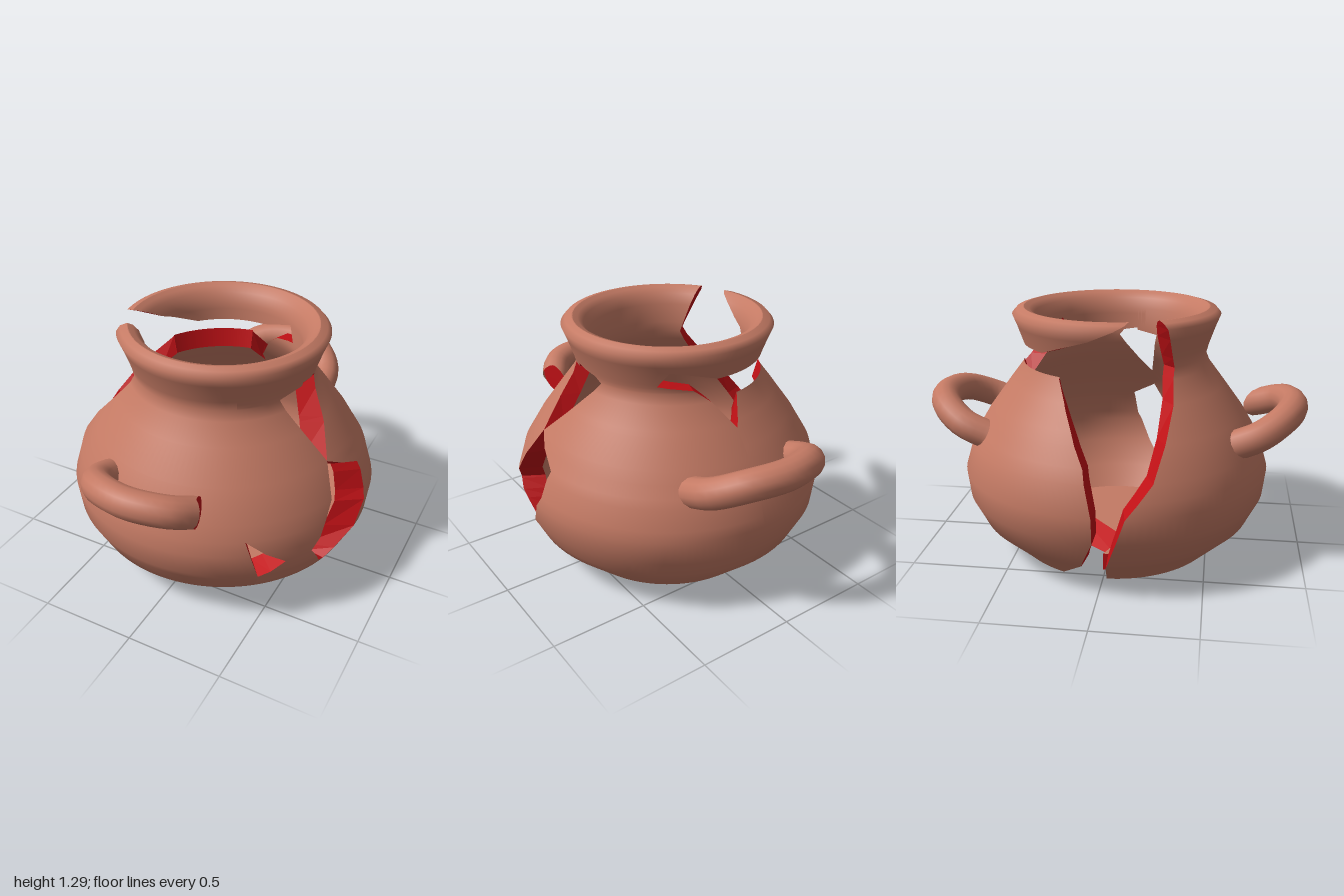
import * as THREE from 'three';

const clay = new THREE.MeshStandardMaterial({ color: 0xc47a64, side: THREE.DoubleSide });
const broken = new THREE.MeshStandardMaterial({ color: 0xc01015, side: THREE.DoubleSide });

// Pot profiles as [height, radius]
const OUTER = [[0, 0.53], [0.18, 0.72], [0.32, 0.79], [0.45, 0.805], [0.6, 0.76], [0.75, 0.67],
  [0.9, 0.56], [1.0, 0.485], [1.05, 0.465], [1.1, 0.477], [1.2, 0.512], [1.255, 0.534], [1.28, 0.512], [1.29, 0.478]];
const INNER = [[0, 0.43], [0.18, 0.58], [0.32, 0.66], [0.45, 0.68], [0.6, 0.645], [0.75, 0.565],
  [0.9, 0.46], [1.0, 0.4], [1.05, 0.385], [1.1, 0.387], [1.2, 0.398], [1.255, 0.422], [1.28, 0.448], [1.29, 0.474]];

// Edges of the shards as [height, angle in degrees]; 0 is the front, 90 is +x
const SLOT_FRONT = [[0, -88], [0.14, -87], [0.32, -83], [0.45, -80], [0.6, -70], [0.75, -63], [0.9, -54],
  [1.05, -46], [1.29, -58]];
const SLOT_BACK = [[0, -113], [0.14, -97], [0.32, -91], [0.45, -91], [0.66, -95], [0.8, -102], [0.91, -109], [1.0, -117]];
const GAP_FRONT = [[0.18, 73], [0.22, 68], [0.38, 60], [0.45, 63], [0.6, 71], [0.75, 76], [0.9, 70],
  [1.0, 65], [1.06, 62], [1.08, 80]];
const GAP_BACK = [[0.18, 73], [0.22, 78], [0.32, 86], [0.5, 93], [0.64, 94.5], [0.7, 84], [0.75, 76], [0.9, 88],
  [1.0, 97], [1.05, 102], [1.08, 98], [1.1, 80]];
const CHIP_A = [[0.28, 40], [0.52, 35]];
const CHIP_B = [[0.28, 40], [0.37, 49.6], [0.52, 35]];
const NOTCH = [[0.88, 180], [1.0, 170], [1.06, 160], [1.09, 139], [1.17, 146]];

function at(list, y) {
  if (y <= list[0][0]) return list[0][1];
  for (let i = 1; i < list.length; i++) {
    const [y0, v0] = list[i - 1], [y1, v1] = list[i];
    if (y <= y1) return v0 + (v1 - v0) * (y - y0) / (y1 - y0);
  }
  return list[list.length - 1][1];
}

function makeMesh(name, geometry, material) {
  const mesh = new THREE.Mesh(geometry, material);
  mesh.name = name;
  return mesh;
}

// Flat-shaded surface from a list of triangle corners
function facets(name, pos, material) {
  const g = new THREE.BufferGeometry();
  g.setAttribute('position', new THREE.Float32BufferAttribute(pos, 3));
  g.computeVertexNormals();
  return makeMesh(name, g, material);
}

// One curved, thick shard between two edges and two heights. For slanted breaks,
// skew turns the inner left edge and drop lowers the inner top edge
function shard(name, y0, y1, left, right, { skew = 0, drop = 0 } = {}) {
  const group = new THREE.Group();
  group.name = name;
  const knots = [y0, y1, ...[OUTER, left, right].flat().map((k) => k[0])];
  const ys = [...new Set(knots)].filter((y) => y >= y0 && y <= y1).sort((a, b) => a - b);
  const n = 36;
  const point = (profile, y, j) => {
    const inside = profile === INNER;
    const l = at(left, y) + (inside ? skew : 0);
    const a = THREE.MathUtils.degToRad(l + (at(right, y) - l) * j / n);
    const h = inside ? y - drop * (y / y1) ** 4 : y;
    const r = at(profile, h);
    return [r * Math.sin(a), h, r * Math.cos(a)];
  };

  // Smooth outer and inner faces
  [[OUTER, 1, 'outerWall'], [INNER, -1, 'innerWall']].forEach(([profile, sign, part]) => {
    const pos = [], nor = [], idx = [];
    ys.forEach((y, i) => {
      for (let j = 0; j <= n; j++) {
        const p = point(profile, y, j), r = Math.hypot(p[0], p[2]);
        const ya = Math.max(0, p[1] - 0.02), yb = Math.min(1.29, p[1] + 0.02);
        const slope = (at(profile, yb) - at(profile, ya)) / (yb - ya);
        pos.push(...p);
        const v = new THREE.Vector3(p[0] / r, -slope, p[2] / r).normalize().multiplyScalar(sign);
        nor.push(v.x, v.y, v.z);
        if (i && j) {
          const c = i * (n + 1) + j, d = c - n - 1;
          if (sign > 0) idx.push(d - 1, d, c - 1, d, c, c - 1);
          else idx.push(d - 1, c - 1, d, d, c - 1, c);
        }
      }
    });
    const g = new THREE.BufferGeometry();
    g.setAttribute('position', new THREE.Float32BufferAttribute(pos, 3));
    g.setAttribute('normal', new THREE.Float32BufferAttribute(nor, 3));
    g.setIndex(idx);
    group.add(makeMesh(part, g, clay));
  });

  // Flat strips joining outer and inner faces
  const strip = (part, steps, material, flip) => {
    const pos = [];
    for (let i = 1; i < steps.length; i++) {
      const [a, b] = [steps[i - 1], steps[i]].map(([y, j]) => [point(OUTER, y, j), point(INNER, y, j)]);
      const tris = flip ? [a[0], b[0], a[1], b[0], b[1], a[1]] : [a[0], a[1], b[0], b[0], a[1], b[1]];
      pos.push(...tris.flat());
    }
    group.add(facets(part, pos, material));
  };
  const around = Array.from({ length: n + 1 }, (_, j) => j);
  strip('leftBreak', ys.map((y) => [y, 0]), broken, true);
  strip('rightBreak', ys.map((y) => [y, n]), broken, false);
  strip('topEdge', around.map((j) => [y1, j]), y1 === 1.29 ? clay : broken, true);
  strip('bottomEdge', around.map((j) => [y0, j]), y0 === 0 ? clay : broken, false);
  return group;
}

// Floor with a piece broken out through its edge, one side of it cut at a slant
function floor() {
  const shape = new THREE.Shape().absarc(0, 0, 0.44, -0.03 - Math.PI, Math.PI - 0.4);
  const bite = [[-0.2, -0.38], [0.02, -0.43], [0.06, -0.42], [-0.33, 0.06]];
  bite.forEach(([x, z]) => shape.lineTo(x, -z));
  const g = new THREE.ExtrudeGeometry(shape, { depth: 0.09, bevelEnabled: false, curveSegments: 40 });
  g.rotateX(-Math.PI / 2);
  const p = g.attributes.position;
  const slant = [[0, 0], [0, 0], [0.15, 0.09], [0.21, 0.06]];
  for (let i = 0; i < p.count; i++) {
    const k = bite.findIndex(([x, z]) => Math.hypot(p.getX(i) - x, p.getZ(i) - z) < 0.001);
    if (p.getY(i) > 0.04 && k >= 0) {
      p.setX(i, p.getX(i) + slant[k][0]);
      p.setZ(i, p.getZ(i) + slant[k][1]);
    }
  }
  g.computeVertexNormals();
  return makeMesh('floor', g, [clay, broken]);
}

// Looped handle; the snapped one stops short of the wall
function handle(name, snapped) {
  const group = new THREE.Group();
  group.name = name;
  const half = [[0.3, 0.645, 0.6], [0.285, 0.705, 0.75], [0.18, 0.77, 0.873], [0, 0.787, 0.922]];
  const pts = [...half.map(([x, y, z]) => [-x, y, z]), ...half.slice(0, 3).reverse()];
  if (snapped) pts.splice(-2, 2, [0.265, 0.72, 0.765]);
  const curve = new THREE.CatmullRomCurve3(pts.map((p) => new THREE.Vector3(...p)));
  const sides = 14, steps = 24;
  const tube = new THREE.TubeGeometry(curve, steps, 0.076, sides);
  group.add(makeMesh('loop', tube, clay));
  if (snapped) {
    // Slide the last ring along the handle onto a slanted plane and close it
    const end = curve.getPoint(1), along = curve.getTangent(1);
    const normal = new THREE.Vector3(0.96, 0, -0.28);
    const ring = [], p = tube.attributes.position;
    for (let j = 0; j <= sides; j++) {
      const k = steps * (sides + 1) + j;
      const v = new THREE.Vector3().fromBufferAttribute(p, k);
      v.addScaledVector(along, normal.dot(end.clone().sub(v)) / normal.dot(along));
      p.setXYZ(k, v.x, v.y, v.z);
      ring.push(v.toArray());
    }
    const fan = ring.slice(1).flatMap((v, j) => [...end.toArray(), ...v, ...ring[j]]);
    group.add(facets('snappedEnd', fan, broken));
  }
  return group;
}

export function createModel() {
  const pot = new THREE.Group();
  pot.name = 'brokenPot';

  // Front shards, meeting at a small chipped hole
  pot.add(shard('frontRightShard', 0, 1.29, SLOT_FRONT, CHIP_A));
  pot.add(shard('frontLeftShard', 0, 1.29, CHIP_B, GAP_FRONT));
  // Back shards, meeting at a notch below the neck
  pot.add(shard('backLeftShard', 0, 1.29, GAP_BACK, NOTCH, { skew: -7 }));
  pot.add(shard('backRightShard', 0, 1.01, [[0.88, -180], [1.0, -172]], SLOT_BACK, { drop: 0.1 }));
  // Overhanging piece of rim
  pot.add(shard('rimShard', 1.11, 1.29, [[1.11, -186], [1.17, -214]], [[1.11, -131], [1.2, -98], [1.29, -76]]));

  pot.add(floor());

  const back = handle('backHandle', false);
  back.rotation.y = Math.PI;
  pot.add(handle('frontHandle', true), back);
  return pot;
}
